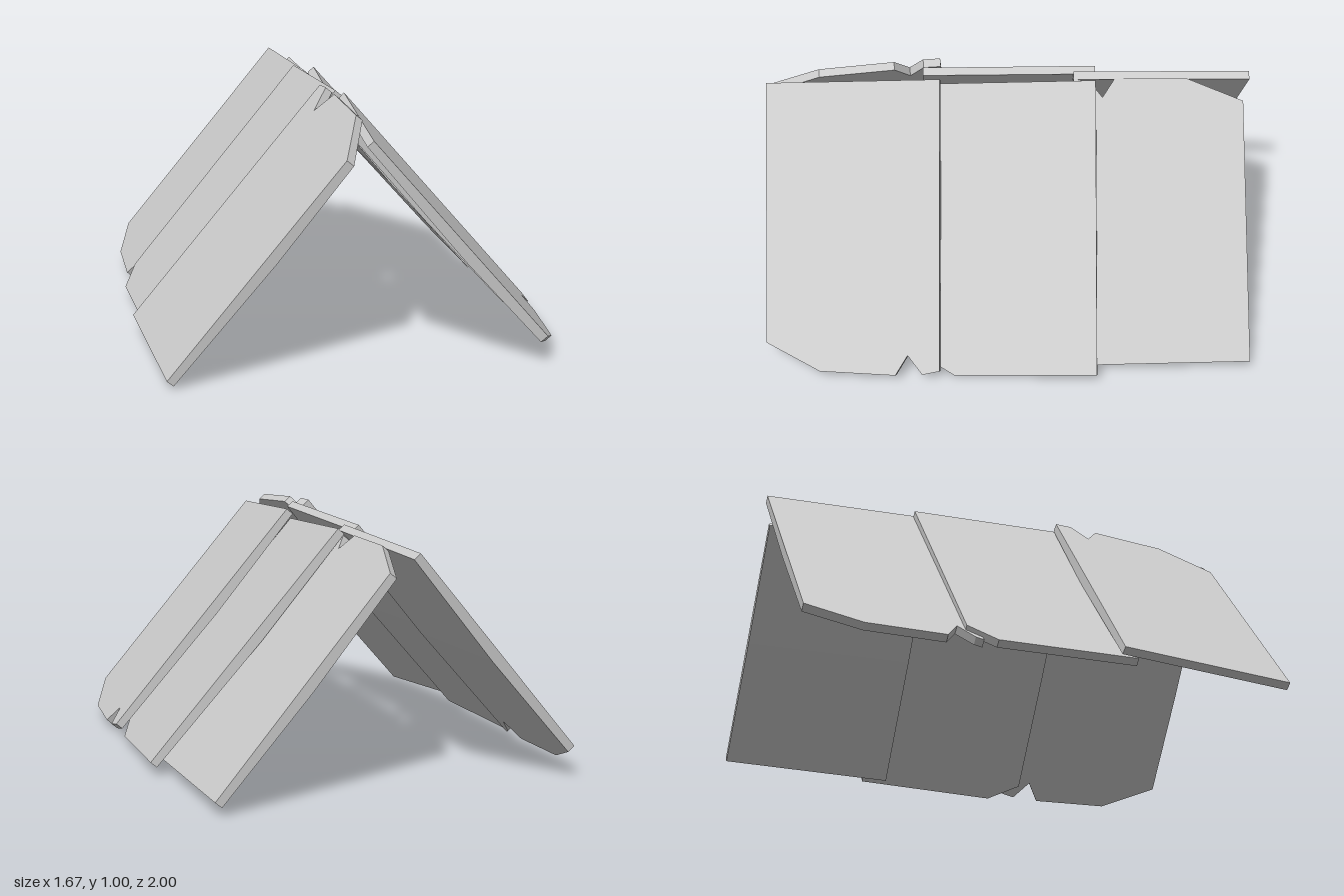
import * as THREE from 'three';

const MID = 0.4;          // distance from the ridge line where the underside bends
const T_END = 0.033;      // thickness at ridge and eave
const T_MID = 0.045;      // thickness at the bend

// Outlines are [distance from centre, z]: ridge edge front to back, eave edge back to front.
// plane [a, b, c] gives the outer surface height y = a + b * distance + c * z.
const BOARDS = [
  { name: 'frontLeftBoard', side: 1, plane: [1.042, -1.154, -0.127],
    ridge: [[0, 1], [0.04, 0.28]],
    eave: [[0.82, 0.28], [0.825, 0.35], [0.77, 0.41], [0.82, 0.46], [0.79, 0.77], [0.7, 0.99]] },
  { name: 'middleLeftBoard', side: 1, plane: [0.954, -1.135, -0.127],
    ridge: [[0, 0.35], [0.04, -0.36]],
    eave: [[0.835, -0.36], [0.8, 0.22], [0.74, 0.35]] },
  { name: 'backLeftBoard', side: 1, plane: [0.935, -1.17, 0],
    ridge: [[0, -0.27], [0.01, -0.34], [0.05, -0.39], [0, -0.44], [0, -0.74], [0.06, -0.97]],
    eave: [[0.755, -0.99], [0.765, -0.27]] },
  { name: 'frontRightBoard', side: -1, plane: [1.109, -1.19, -0.148],
    ridge: [[0.1, 0.99], [0.02, 0.78], [0.04, 0.47], [0.11, 0.41], [0.05, 0.35], [0.06, 0.28]],
    eave: [[0.84, 0.28], [0.785, 0.99]] },
  { name: 'middleRightBoard', side: -1, plane: [1.01, -1.19, -0.04],
    ridge: [[0.01, 0.35], [0.05, -0.36]],
    eave: [[0.77, -0.33], [0.825, -0.22], [0.8, 0.35]] },
  { name: 'backRightBoard', side: -1, plane: [0.975, -1.175, -0.022],
    ridge: [[0.02, -0.27], [0.05, -1]],
    eave: [[0.74, -0.95], [0.8, -0.73], [0.8, -0.41], [0.74, -0.36], [0.79, -0.3], [0.8, -0.27]] },
];

// Point where the edge p-q crosses the bend line
function crossing(p, q) {
  const t = (MID - p[0]) / (q[0] - p[0]);
  return [MID, p[1] + (q[1] - p[1]) * t];
}

function boardGeometry({ side, plane: [a, b, c], ridge, eave }) {
  const normal = new THREE.Vector3(-b, 1, -c).normalize();
  const top = ([x, z]) => new THREE.Vector3(x, a + b * x + c * z, z);
  const under = (p) => {
    const t = T_MID - (T_MID - T_END) * Math.min(1, Math.abs(p[0] - MID) / MID);
    return top(p).addScaledVector(normal, -t);
  };

  const positions = [];
  const tri = (p, q, r) => {
    for (const v of side > 0 ? [p, q, r] : [p, r, q]) positions.push(v.x * side, v.y, v.z);
  };

  const midBack = crossing(ridge[ridge.length - 1], eave[0]);
  const midFront = crossing(eave[eave.length - 1], ridge[0]);

  // Outer face and underside, in two halves that meet at the bend
  for (const half of [[...ridge, midBack, midFront], [midFront, midBack, ...eave]]) {
    const contour = half.map(([x, z]) => new THREE.Vector2(x, z));
    for (const ids of THREE.ShapeUtils.triangulateShape(contour, [])) {
      let [p, q, r] = ids.map((i) => half[i]);
      const up = (q[1] - p[1]) * (r[0] - p[0]) - (q[0] - p[0]) * (r[1] - p[1]);
      if (up < 0) [q, r] = [r, q];
      tri(top(p), top(q), top(r));
      tri(under(p), under(r), under(q));
    }
  }

  // Edge walls
  const outline = [...ridge, midBack, ...eave, midFront];
  outline.forEach((p, i) => {
    const q = outline[(i + 1) % outline.length];
    tri(under(q), under(p), top(p));
    tri(under(q), top(p), top(q));
  });

  const geometry = new THREE.BufferGeometry();
  geometry.setAttribute('position', new THREE.Float32BufferAttribute(positions, 3));
  geometry.computeVertexNormals();
  return geometry;
}

export function createModel() {
  const group = new THREE.Group();
  group.name = 'plankRoof';
  const material = new THREE.MeshStandardMaterial({ color: 0xcccccc, flatShading: true });
  for (const board of BOARDS) {
    const mesh = new THREE.Mesh(boardGeometry(board), material);
    mesh.name = board.name;
    group.add(mesh);
  }
  return group;
}
